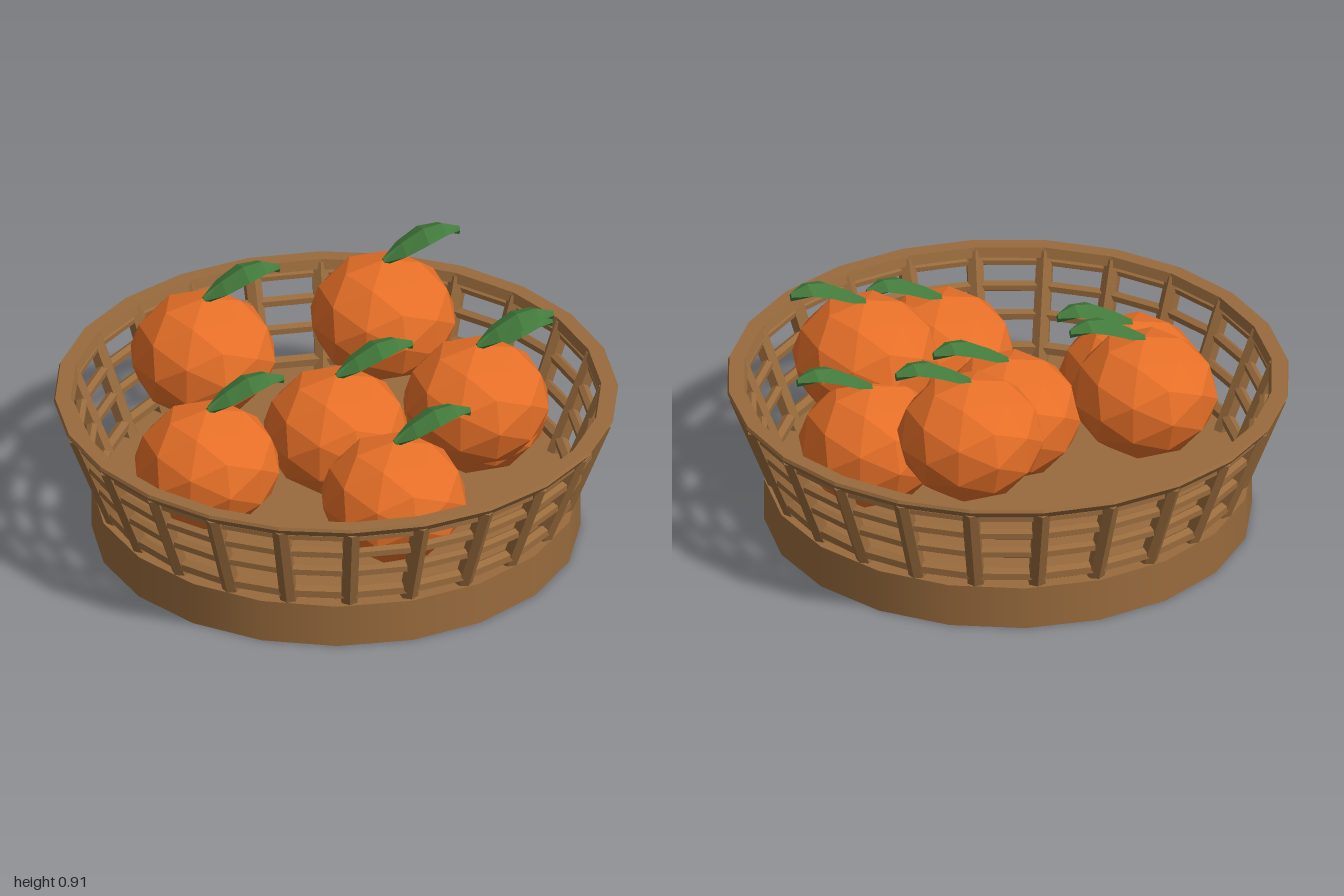
import * as THREE from 'three';

const mat = (name, color, flatShading = true) => {
  const m = new THREE.MeshStandardMaterial({ color, flatShading });
  m.name = name;
  return m;
};

// Closed ring swept round y from a profile of [radius, height] points
function ring(profile, sides) {
  const pts = [...profile, profile[0]].map(([r, y]) => new THREE.Vector2(r, y));
  return new THREE.LatheGeometry(pts, sides);
}

// Arched leaf with a raised midrib, built from four-point cross-sections
function leafGeometry() {
  const sections = [ // x, top height, half width
    [0, 0.012, 0.012], [0.07, 0.06, 0.06], [0.15, 0.104, 0.073],
    [0.22, 0.114, 0.052], [0.285, 0.092, 0.01],
  ];
  const pos = [], idx = [];
  for (const [x, y, w] of sections) {
    const drop = 0.012 + w * 0.22;
    pos.push(x, y - drop, -w, x, y, 0, x, y - drop, w, x, y - 0.034, 0);
  }
  for (let i = 0; i < sections.length - 1; i++) {
    for (let j = 0; j < 4; j++) {
      const a = i * 4 + j, b = i * 4 + (j + 1) % 4;
      idx.push(a, b, a + 4, b, b + 4, a + 4);
    }
  }
  const e = (sections.length - 1) * 4;
  idx.push(0, 2, 1, 0, 3, 2, e, e + 1, e + 2, e, e + 2, e + 3);
  const g = new THREE.BufferGeometry();
  g.setAttribute('position', new THREE.Float32BufferAttribute(pos, 3));
  g.setIndex(idx);
  g.computeVertexNormals();
  return g;
}

export function createModel() {
  const model = new THREE.Group();
  model.name = 'fruitBasket';
  const wicker = mat('wicker brown', 0x996b3d);
  const wickerSmooth = wicker.clone();
  wickerSmooth.flatShading = false;
  const peel = mat('orange peel', 0xe66f28);
  const green = mat('leaf green', 0x437a3c);

  const add = (parent, name, geometry, material) => {
    const m = new THREE.Mesh(geometry, material);
    m.name = name;
    parent.add(m);
    return m;
  };

  // Solid base, its top being the floor of the basket
  const base = add(model, 'base', new THREE.CylinderGeometry(0.865, 0.865, 0.16, 20), wickerSmooth);
  base.position.y = 0.08;

  // Flared wall: radius of the stake centre line at a height
  const wall = (y) => 0.82 + (y - 0.16) * 0.39;
  const basket = new THREE.Group();
  basket.name = 'wovenWall';
  model.add(basket);

  // Horizontal rails
  for (const [y, t] of [[0.2, 0.025], [0.31, 0.021], [0.405, 0.021], [0.488, 0.017]]) {
    const profile = [];
    for (let k = 0; k < 6; k++) {
      const a = (k / 6) * Math.PI * 2 + Math.PI / 6;
      profile.push([wall(y) + Math.cos(a) * t, y + Math.sin(a) * t]);
    }
    add(basket, 'rail', ring(profile, 24), wicker);
  }

  // Upright stakes
  const low = 0.15, high = 0.525;
  const run = wall(high) - wall(low), rise = high - low;
  const stakeGeo = new THREE.CylinderGeometry(0.033, 0.033, Math.hypot(run, rise), 6);
  stakeGeo.rotateX(Math.atan2(run, rise));
  stakeGeo.translate(0, (low + high) / 2, wall((low + high) / 2));
  for (let i = 0; i < 24; i++) {
    add(basket, 'stake', stakeGeo, wicker).rotation.y = (i / 24) * Math.PI * 2;
  }

  // Rim
  add(basket, 'rim', ring([[0.93, 0.51], [0.98, 0.508], [1, 0.535], [0.995, 0.546], [0.94, 0.546]], 24), wicker);

  // Oranges, lower layer on the floor and upper layer resting on it
  const orangeGeo = new THREE.IcosahedronGeometry(0.263, 1);
  orangeGeo.scale(1, 0.225 / 0.263, 1);
  const leafGeo = leafGeometry();
  const lower = 0.385, upper = 0.575;
  const spots = [
    [-0.38, upper, -0.35], [0.31, upper, -0.41], [0.435, upper, 0.27],
    [0, lower, 0], [0.52, lower, 0], [-0.51, lower, 0.09], [0.045, lower, 0.515],
  ];
  for (const [x, y, z] of spots) {
    const fruit = new THREE.Group();
    fruit.name = 'orange';
    fruit.position.set(x, y, z);
    add(fruit, 'fruitBody', orangeGeo, peel);
    add(fruit, 'leaf', leafGeo, green).position.y = 0.222;
    model.add(fruit);
  }
  return model;
}
